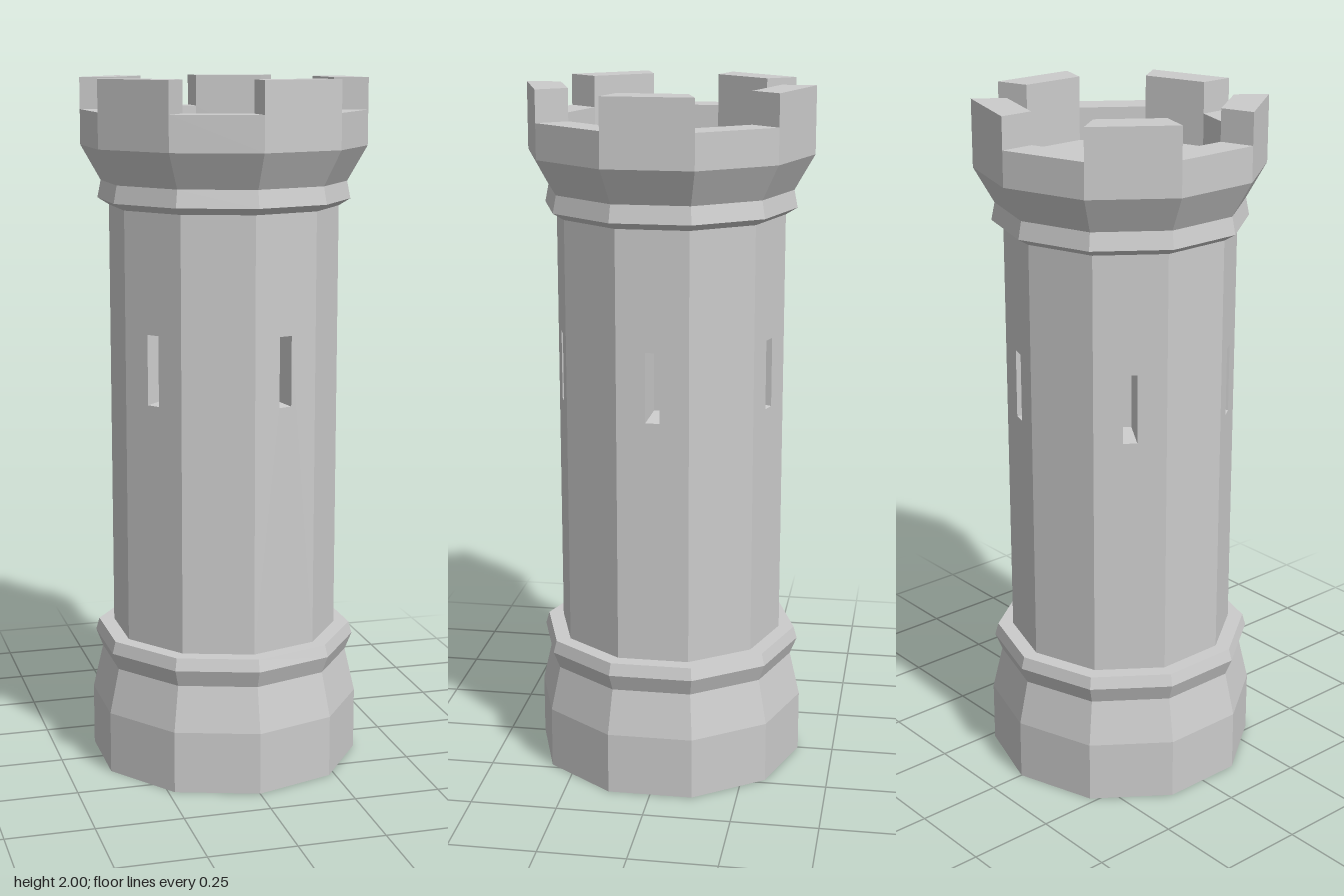
import * as THREE from 'three';

const SIDES = 10;
const STEP = (Math.PI * 2) / SIDES;
const HALF = STEP / 2;
const SHAFT = { r: 0.33, bottom: 0.395, top: 1.64 };
const SLIT = { w: 0.04, bottom: 1.1, top: 1.3, depth: 0.1 };
const CROWN = { outer: 0.41, inner: 0.312, ledge: 1.91, top: 2 };

const stone = new THREE.MeshStandardMaterial({ color: 0xcccccc, flatShading: true });

function addMesh(parent, name, geometry) {
  const mesh = new THREE.Mesh(geometry, stone);
  mesh.name = name;
  parent.add(mesh);
  return mesh;
}

// Ten-sided turned part from [radius, height] pairs
function turned(profile) {
  return new THREE.LatheGeometry(profile.map(([r, y]) => new THREE.Vector2(r, y)), SIDES);
}

// One flat side of the shaft facing +z, optionally with a slit opening
function wallGeometry(withSlit) {
  const w = SHAFT.r * Math.sin(HALF);
  const shape = new THREE.Shape([
    new THREE.Vector2(-w, SHAFT.bottom), new THREE.Vector2(w, SHAFT.bottom),
    new THREE.Vector2(w, SHAFT.top), new THREE.Vector2(-w, SHAFT.top),
  ]);
  if (withSlit) {
    const s = SLIT.w / 2;
    shape.holes.push(new THREE.Path([
      new THREE.Vector2(-s, SLIT.bottom), new THREE.Vector2(-s, SLIT.top),
      new THREE.Vector2(s, SLIT.top), new THREE.Vector2(s, SLIT.bottom),
    ]));
  }
  return new THREE.ShapeGeometry(shape).translate(0, 0, SHAFT.r * Math.cos(HALF));
}

// Tapered recess behind a slit: an inside-out box without its outer face
function recessGeometry() {
  const g = new THREE.BoxGeometry(SLIT.w, SLIT.top - SLIT.bottom, SLIT.depth);
  g.scale(1, 1, -1);
  g.setIndex(Array.from(g.index.array).slice(0, 30));
  g.clearGroups();
  const p = g.attributes.position;
  for (let i = 0; i < p.count; i++) {
    if (p.getZ(i) < 0) p.setXY(i, p.getX(i) * 0.6, p.getY(i) * 0.9);
  }
  g.computeVertexNormals();
  return g.translate(0, (SLIT.top + SLIT.bottom) / 2, SHAFT.r * Math.cos(HALF) - SLIT.depth / 2);
}

// Battlement block covering one side of the parapet, facing +z
function merlonGeometry() {
  const s = Math.sin(HALF), c = Math.cos(HALF);
  const { outer, inner, ledge, top } = CROWN;
  const shape = new THREE.Shape([
    new THREE.Vector2(-outer * s, -outer * c), new THREE.Vector2(outer * s, -outer * c),
    new THREE.Vector2(inner * s, -inner * c), new THREE.Vector2(-inner * s, -inner * c),
  ]);
  return new THREE.ExtrudeGeometry(shape, { depth: top - ledge, bevelEnabled: false })
    .rotateX(-Math.PI / 2).translate(0, ledge, 0);
}

export function createModel() {
  const tower = new THREE.Group();
  tower.name = 'tower';

  // Flared foot with its moulding
  addMesh(tower, 'base', turned([
    [0, 0], [0.395, 0], [0.395, 0.18], [0.365, 0.31],
    [0.385, 0.36], [0.375, 0.395], [SHAFT.r, SHAFT.bottom],
  ]));

  // Collar, corbel, parapet and roof floor
  addMesh(tower, 'crown', turned([
    [SHAFT.r, SHAFT.top], [0.363, 1.66], [0.353, 1.71], [CROWN.outer, 1.81],
    [CROWN.outer, CROWN.ledge], [CROWN.inner, CROWN.ledge], [CROWN.inner, 1.815], [0, 1.815],
  ]));

  // Shaft walls; every other side has a slit and a merlon
  const shaft = new THREE.Group();
  shaft.name = 'shaft';
  const battlements = new THREE.Group();
  battlements.name = 'battlements';
  tower.add(shaft, battlements);
  for (let i = 0; i < SIDES; i++) {
    const angle = (i + 0.5) * STEP;
    const open = i % 2 === 0;
    addMesh(shaft, 'wall', wallGeometry(open)).rotation.y = angle;
    if (open) {
      addMesh(shaft, 'slitRecess', recessGeometry()).rotation.y = angle;
      addMesh(battlements, 'merlon', merlonGeometry()).rotation.y = angle;
    }
  }
  return tower;
}
